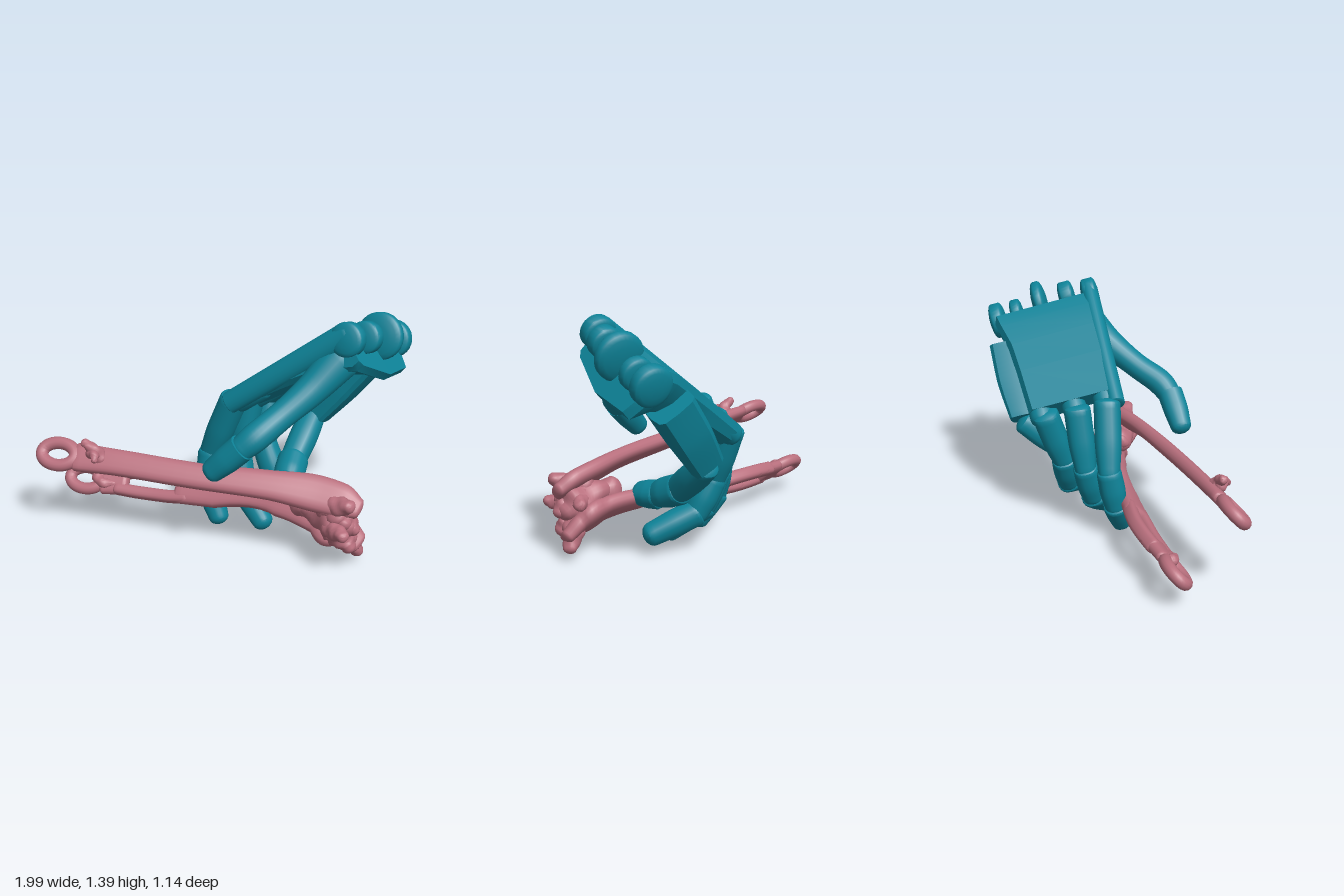
import * as THREE from 'three';
import { toCreasedNormals } from 'three/addons/utils/BufferGeometryUtils.js';

const V = (x, y, z) => new THREE.Vector3(x, y, z);
const teal = new THREE.MeshStandardMaterial({ color: 0x0e8499 });
const pink = new THREE.MeshStandardMaterial({ color: 0xb9707e });

function part(group, name, geo, mat, crease = 0.7) {
  const mesh = new THREE.Mesh(toCreasedNormals(geo, crease), mat);
  mesh.name = name;
  group.add(mesh);
}

// Closed solid through equal-sized rings of points
function loft(rings) {
  const n = rings[0].length, pos = [], idx = [];
  rings.forEach(r => r.forEach(p => pos.push(p.x, p.y, p.z)));
  for (let i = 0; i < rings.length - 1; i++) for (let j = 0; j < n; j++) {
    const a = i * n + j, b = i * n + (j + 1) % n;
    idx.push(a, b, a + n, b, b + n, a + n);
  }
  [0, rings.length - 1].forEach((r, end) => {
    const c = pos.length / 3, m = V(0, 0, 0);
    rings[r].forEach(p => m.addScaledVector(p, 1 / n));
    pos.push(m.x, m.y, m.z);
    for (let j = 0; j < n; j++) {
      const a = r * n + j, b = r * n + (j + 1) % n;
      end ? idx.push(c, a, b) : idx.push(c, b, a);
    }
  });
  const geo = new THREE.BufferGeometry();
  geo.setAttribute('position', new THREE.Float32BufferAttribute(pos, 3));
  geo.setIndex(idx);
  return geo;
}

// Elliptical sweep: points are [x, y, z, halfWidth, halfDepth], width lies along hint
function sweep(pts, { hint = V(0.2, -0.25, -0.95), sides = 20, dome = [0.8, 0.8], power = 1, wobble = 0 } = {}) {
  const path = new THREE.CatmullRomCurve3(pts.map(p => V(p[0], p[1], p[2])));
  const size = new THREE.CatmullRomCurve3(pts.map(p => V(p[3], p[4] ?? p[3], 0)));
  const steps = pts.length > 2 ? (pts.length - 1) * 7 : 1, rings = [];
  const ring = (t, shift, k) => {
    const T = path.getTangent(t), c = path.getPoint(t), s = size.getPoint(t);
    const U = hint.clone().addScaledVector(T, -hint.dot(T)).normalize(), W = T.clone().cross(U);
    c.addScaledVector(T, shift * Math.min(s.x, s.y));
    rings.push(Array.from({ length: sides }, (_, j) => {
      const a = j / sides * 2 * Math.PI, ca = Math.cos(a), sa = Math.sin(a);
      const f = k * (1 + wobble * Math.sin(a * 3 + t * 9) + wobble * Math.sin(a * 2 - t * 16));
      return c.clone().addScaledVector(U, f * s.x * Math.sign(ca) * Math.abs(ca) ** power)
        .addScaledVector(W, f * s.y * Math.sign(sa) * Math.abs(sa) ** power);
    }));
  };
  const arc = [0.22, 0.45, 0.7, 0.9, 1].map(v => v * Math.PI / 2);
  if (dome[0]) [...arc].reverse().forEach(a => ring(0, -dome[0] * Math.sin(a), Math.max(Math.cos(a), 0.02)));
  for (let i = 0; i <= steps; i++) ring(i / steps, 0, 1);
  if (dome[1]) arc.forEach(a => ring(1, dome[1] * Math.sin(a), Math.max(Math.cos(a), 0.02)));
  return loft(rings);
}

// Palm frame: D knuckles to wrist, B across the hand, N out of the back of the hand
const K = V(0.03, 0.86, 0.07), D = V(0.8, 0.6, 0), B = V(0.2, -0.25, -0.95).normalize();
const N = D.clone().cross(B).normalize();
const palmPoint = (a, b, depth) => K.clone().addScaledVector(D, a).addScaledVector(B, b).addScaledVector(N, -depth);

function buildHand() {
  const hand = new THREE.Group();
  hand.name = 'hand';

  // Palm with a deep wrist cuff: [along, far edge, back depth, near depth, mid depth, far depth]
  const rows = [[0.84, 0.61, 0.13, 0.24, 0.32, 0.3], [0.79, 0.63, 0.0, 0.25, 0.33, 0.31], [0.7, 0.61, -0.015, 0.21, 0.25, 0.22],
    [0.55, 0.57, -0.015, 0.16, 0.17, 0.16], [0.35, 0.55, -0.015, 0.13, 0.14, 0.16], [0.07, 0.53, -0.01, 0.1, 0.12, 0.14]];
  part(hand, 'palm', loft(rows.map(([a, e, d, d0, d1, d2]) => [
    [-0.015, d + 0.04], [0.01, d], [e - 0.03, d], [e, d + 0.04], [e, d2 * 0.6], [e - 0.04, d2], [0.3, d1], [0.02, d0], [-0.015, d0 - 0.03]
  ].map(([b, depth]) => palmPoint(a, b, depth)))), teal, 0.5);

  const along = (a, b, d, r, q) => [...palmPoint(a, b, d).toArray(), r, q];
  part(hand, 'palmEdge', sweep([along(0.0, 0.015, 0.05, 0.055, 0.065), along(0.84, 0.0, 0.05, 0.055, 0.07)], { dome: [0.2, 1] }), teal);

  // Knuckle covers over the three long fingers
  [0.07, 0.26, 0.46].forEach(b => part(hand, 'knuckle',
    sweep([along(0.04, b, 0.06, 0.073, 0.07), along(0.2, b, 0.06, 0.073, 0.07)]), teal));

  // Rounded hinge discs across the wrist: [x, y, z, radius, half thickness]
  [[0.74, 1.3, 0.095, 0.095, 0.03], [0.81, 1.275, -0.04, 0.09, 0.03], [0.855, 1.23, -0.205, 0.135, 0.015],
    [0.87, 1.165, -0.35, 0.09, 0.02], [0.88, 1.125, -0.47, 0.11, 0.025]].forEach(([x, y, z, r, t]) => {
    const c = V(x, y, z), a = c.clone().addScaledVector(B, -t), b = c.clone().addScaledVector(B, t);
    part(hand, 'wristDisc', sweep([[...a.toArray(), r], [...b.toArray(), r]], { hint: V(1, 0, 0), sides: 28, dome: [0.25, 0.25] }), teal);
  });

  // Fingers: jointed capsule segments
  const fingers = {
    indexFinger: [[0.07, 0.82, 0.02, 0.08], [-0.085, 0.44, -0.01, 0.074], [-0.085, 0.22, 0.03, 0.075], [0.0, 0.06, 0.09, 0.058]],
    middleFinger: [[0.12, 0.78, -0.15, 0.08], [0.05, 0.42, -0.12, 0.074], [0.1, 0.21, -0.06, 0.077], [0.27, 0.065, 0.06, 0.06]],
    ringFinger: [[0.17, 0.74, -0.33, 0.08], [0.19, 0.43, -0.22, 0.074], [0.28, 0.24, -0.17, 0.077], [0.495, 0.13, -0.035, 0.066]],
    littleFinger: [[0.44, 0.6, -0.41, 0.072], [0.39, 0.4, -0.15, 0.088], [0.4, 0.33, 0.02, 0.082], [0.42, 0.315, 0.125, 0.072]],
  };
  for (const [name, p] of Object.entries(fingers)) {
    const finger = new THREE.Group();
    finger.name = name;
    for (let i = 0; i < 3; i++) {
      const [a, b] = [p[i], p[i + 1]];
      const mid = a.map((v, k) => (v + b[k]) / 2);
      mid[3] *= 1.04;
      const end = i < 2 ? [b[0], b[1], b[2], b[3] * 0.88] : b;
      part(finger, 'fingerSegment', sweep([a, mid, end], { dome: [0.45, 0.8], power: 0.85 }), teal, 0.5);
    }
    hand.add(finger);
  }

  // Angular side plate that carries the little finger
  part(hand, 'sidePlate', sweep([[0.73, 1.0, -0.435, 0.115, 0.12], [0.59, 0.81, -0.43, 0.105, 0.115], [0.45, 0.62, -0.415, 0.075, 0.095]],
    { sides: 12, power: 0.45, dome: [0, 0] }), teal, 0.5);

  // Thumb: swept base and a separate tip
  part(hand, 'thumbBase', sweep([[0.69, 1.16, 0.04, 0.115], [0.575, 1.02, 0.17, 0.09], [0.44, 0.895, 0.32, 0.077],
    [0.34, 0.81, 0.44, 0.08], [0.27, 0.745, 0.485, 0.07]], { dome: [0.6, 0.5] }), teal);
  part(hand, 'thumbTip', sweep([[0.28, 0.76, 0.485, 0.078], [0.2, 0.68, 0.497, 0.076], [0.12, 0.6, 0.505, 0.064]],
    { dome: [0, 0.75], power: 0.85 }), teal, 0.5);
  return hand;
}

// Tong frame: the arms are flat along ACROSS and open along the other diagonal
const ACROSS = V(0, 0.707, -0.707);

function buildTongs() {
  const tongs = new THREE.Group();
  tongs.name = 'tongs';
  const bar = (name, pts) => part(tongs, name, sweep(pts, { hint: ACROSS, power: 0.7, dome: [0.6, 0.6] }), pink, 1.2);

  // Ring at the tip of each arm
  [[0.515, 0.465], [0.195, 0.145]].forEach(([y, z]) => {
    const loop = Array.from({ length: 16 }, (_, i) => {
      const a = i / 16 * 2 * Math.PI;
      return V(-0.857 + 0.106 * Math.cos(a), y, z).addScaledVector(ACROSS, 0.068 * Math.sin(a));
    });
    part(tongs, 'ring', new THREE.TubeGeometry(new THREE.CatmullRomCurve3(loop, true), 48, 0.037, 14, true), pink, 1.2);
  });

  // Upper arm: one solid bar widening to the joint
  bar('upperArm', [[-0.74, 0.512, 0.457, 0.085, 0.037], [-0.5, 0.51, 0.44, 0.077, 0.042], [0, 0.49, 0.4, 0.075, 0.045],
    [0.4, 0.48, 0.345, 0.085, 0.045], [0.65, 0.455, 0.305, 0.105, 0.05], [0.8, 0.43, 0.3, 0.1, 0.05], [0.89, 0.4, 0.3, 0.06, 0.04]]);

  // Lower arm: two bars joined by the rails of a long slot
  bar('lowerArm', [[-0.74, 0.195, 0.14, 0.085, 0.037], [-0.67, 0.2, 0.13, 0.085, 0.038], [-0.6, 0.205, 0.12, 0.09, 0.04]]);
  bar('lowerArm', [[-0.24, 0.22, 0.117, 0.092, 0.045], [0, 0.23, 0.13, 0.08, 0.045], [0.4, 0.272, 0.17, 0.08, 0.045],
    [0.65, 0.255, 0.215, 0.1, 0.05], [0.8, 0.2, 0.235, 0.1, 0.05], [0.89, 0.145, 0.235, 0.065, 0.04]]);
  for (const s of [-1, 1]) {
    const rail = [[-0.64, 0.203, 0.125, 0.05], [-0.52, 0.21, 0.113, 0.063], [-0.4, 0.215, 0.108, 0.066], [-0.29, 0.218, 0.113, 0.06], [-0.18, 0.222, 0.12, 0.045]];
    bar('slotRail', rail.map(([x, y, z, u]) => [...V(x, y, z).addScaledVector(ACROSS, s * u).toArray(), 0.037, 0.042]));
  }

  const lump = (name, pts, wobble = 0.05) => part(tongs, name, sweep(pts, { hint: V(0.3, 0.7, -0.7), wobble }), pink, 1.2);
  // Small spurs near the ring ends
  lump('spur', [[-0.6, 0.53, 0.45, 0.05], [-0.62, 0.58, 0.47, 0.038], [-0.68, 0.62, 0.47, 0.025]]);
  lump('spur', [[-0.64, 0.56, 0.47, 0.035], [-0.6, 0.57, 0.51, 0.028], [-0.59, 0.55, 0.535, 0.018]]);
  lump('spur', [[-0.78, 0.22, 0.15, 0.035], [-0.73, 0.2, 0.175, 0.032], [-0.66, 0.2, 0.16, 0.02]]);

  // Gnarled joint where the arms meet
  lump('joint', [[0.52, 0.35, 0.25, 0.05, 0.04], [0.66, 0.34, 0.27, 0.09, 0.09], [0.78, 0.31, 0.29, 0.115, 0.11], [0.84, 0.28, 0.3, 0.07, 0.08]], 0.08);
  // Lobes fading into the joint: [root, tip, tip radius]
  [[[0.72, 0.38, 0.3], [0.86, 0.45, 0.38], 0.04], [[0.76, 0.34, 0.28], [0.84, 0.335, 0.17], 0.035],
    [[0.76, 0.28, 0.34], [0.85, 0.3, 0.455], 0.035], [[0.78, 0.24, 0.28], [0.885, 0.085, 0.215], 0.042],
    [[0.78, 0.24, 0.3], [0.86, 0.16, 0.32], 0.045], [[0.56, 0.34, 0.24], [0.84, 0.33, 0.36], 0.04],
    [[0.78, 0.36, 0.32], [0.88, 0.27, 0.31], 0.04]].forEach(([a, b, r]) =>
    lump('jointLobe', [[...a, r * 2], [...a.map((v, i) => (v + b[i]) / 2), r * 1.5], [...b, r * 0.95]], 0.06));
  return tongs;
}

export function createModel() {
  const model = new THREE.Group();
  model.name = 'handWithTongs';
  model.add(buildHand(), buildTongs());
  return model;
}
